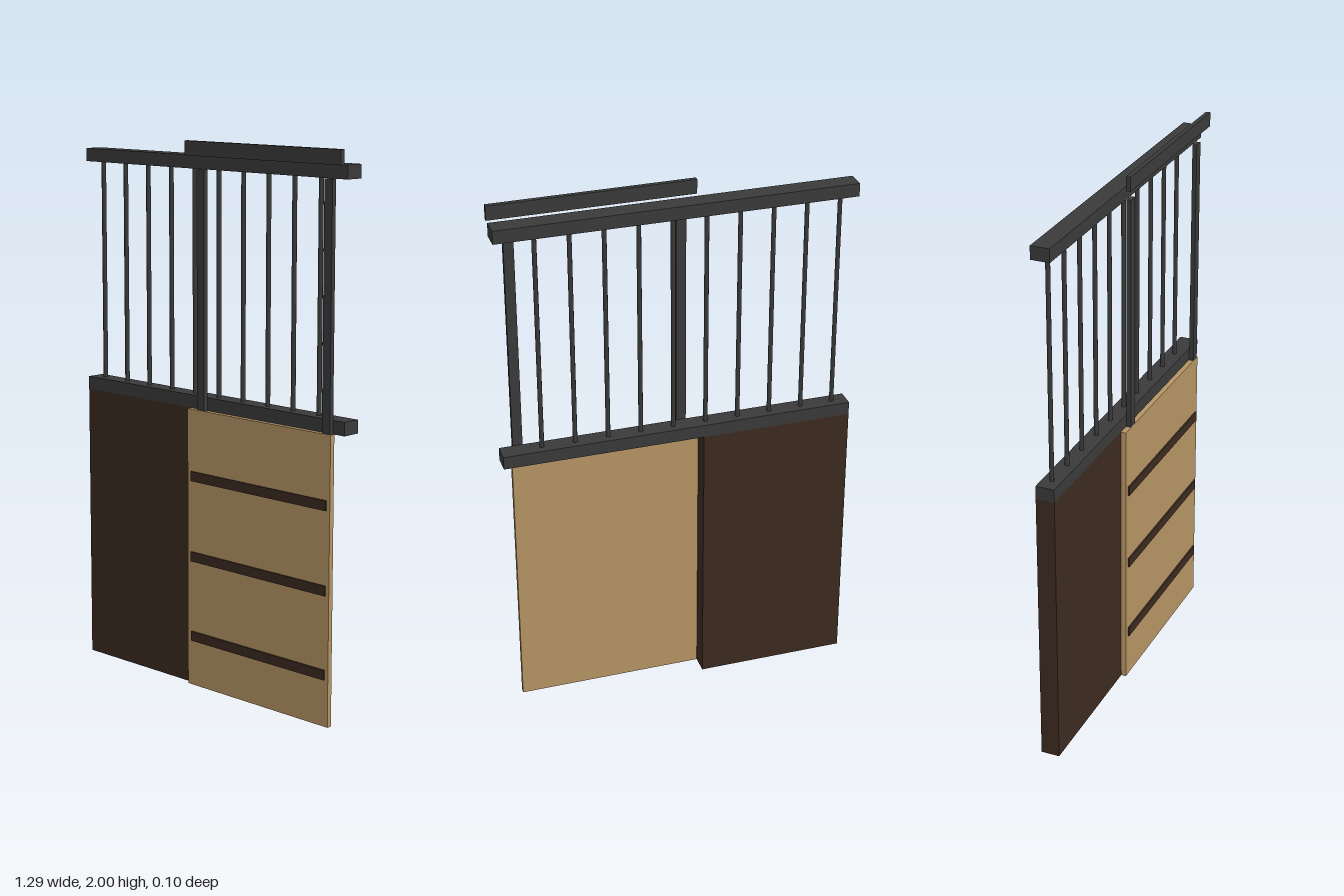
import * as THREE from 'three';

export function createModel() {
  const model = new THREE.Group();
  model.name = 'slidingStallDoor';

  const material = (name, color) => {
    const m = new THREE.MeshStandardMaterial({ color });
    m.name = name;
    return m;
  };
  const steel = material('dark steel', 0x3a3a3a);
  const darkWood = material('dark wood', 0x3b2a20);
  const lightWood = material('light wood', 0xb59464);

  // Box given by its limits on each axis
  const box = (name, mat, [x0, x1], [y0, y1], [z0, z1]) => {
    const mesh = new THREE.Mesh(new THREE.BoxGeometry(x1 - x0, y1 - y0, z1 - z0), mat);
    mesh.position.set((x0 + x1) / 2, (y0 + y1) / 2, (z0 + z1) / 2);
    mesh.name = name;
    model.add(mesh);
  };

  const wallZ = [-0.052, 0.017];

  // Fixed wall panel and the two long rails
  box('wallPanel', darkWood, [-0.645, -0.09], [0, 1.038], wallZ);
  box('lowerRail', steel, [-0.645, 0.645], [1.038, 1.086], wallZ);
  box('upperRail', steel, [-0.645, 0.645], [1.9, 1.948], wallZ);

  // Sliding door in front of the wall, with its track above
  box('slidingDoor', lightWood, [-0.09, 0.6], [0, 1.038], [0.017, 0.036]);
  box('slidingTrack', steel, [-0.087, 0.645], [1.948, 2], [0.035, 0.052]);

  // Door posts, running up from inside the door
  for (const x of [-0.025, 0.577]) {
    box('doorPost', steel, [x - 0.018, x + 0.018], [0.002, 1.9], [0.018, 0.035]);
  }

  // Cross battens on the door
  for (const y of [0.188, 0.49, 0.791]) {
    box('doorBatten', darkWood, [-0.07, 0.585], [y - 0.018, y + 0.018], [0.034, 0.042]);
  }

  // Round grille bars between the rails
  const barGeometry = new THREE.CylinderGeometry(0.0085, 0.0085, 0.814, 8);
  for (let i = 0; i < 10; i++) {
    const bar = new THREE.Mesh(barGeometry, steel);
    bar.position.set(-0.588 + i * 0.1207, 1.493, -0.018);
    bar.name = 'grilleBar';
    model.add(bar);
  }

  return model;
}
